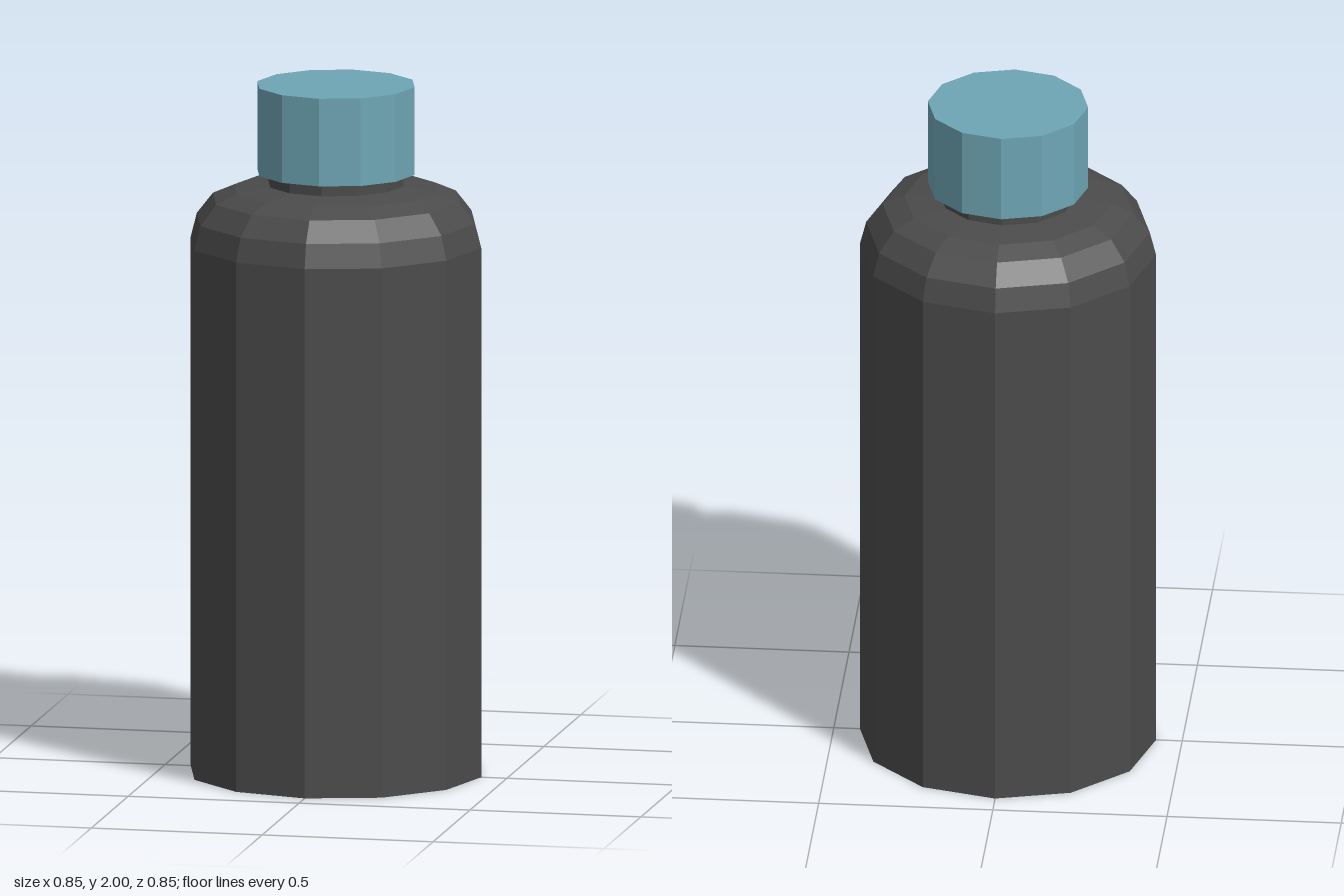
import * as THREE from 'three';

const SIDES = 12;

export function createModel() {
  const bottle = new THREE.Group();
  bottle.name = 'bottle';

  const charcoal = new THREE.MeshStandardMaterial({ name: 'charcoal', color: 0x4b4b4b, flatShading: true });
  const teal = new THREE.MeshStandardMaterial({ name: 'teal', color: 0x6ea6b5, flatShading: true });

  const add = (name, geometry, material, y = 0) => {
    const mesh = new THREE.Mesh(geometry, material);
    mesh.name = name;
    mesh.position.y = y;
    bottle.add(mesh);
  };

  // Straight wall, rounded shoulder and narrow neck as [radius, height]
  const profile = [
    [0.425, 0], [0.425, 1.54], [0.407, 1.61], [0.36, 1.67],
    [0.298, 1.697], [0.197, 1.71], [0.197, 1.75],
  ].map(([r, y]) => new THREE.Vector2(r, y));
  add('body', new THREE.LatheGeometry(profile, SIDES), charcoal);

  // Coloured underside
  add('base', new THREE.CircleGeometry(0.425, SIDES).rotateX(Math.PI / 2), teal);

  // Screw cap
  add('cap', new THREE.CylinderGeometry(0.23, 0.23, 0.255, SIDES), teal, 1.8725);

  return bottle;
}
